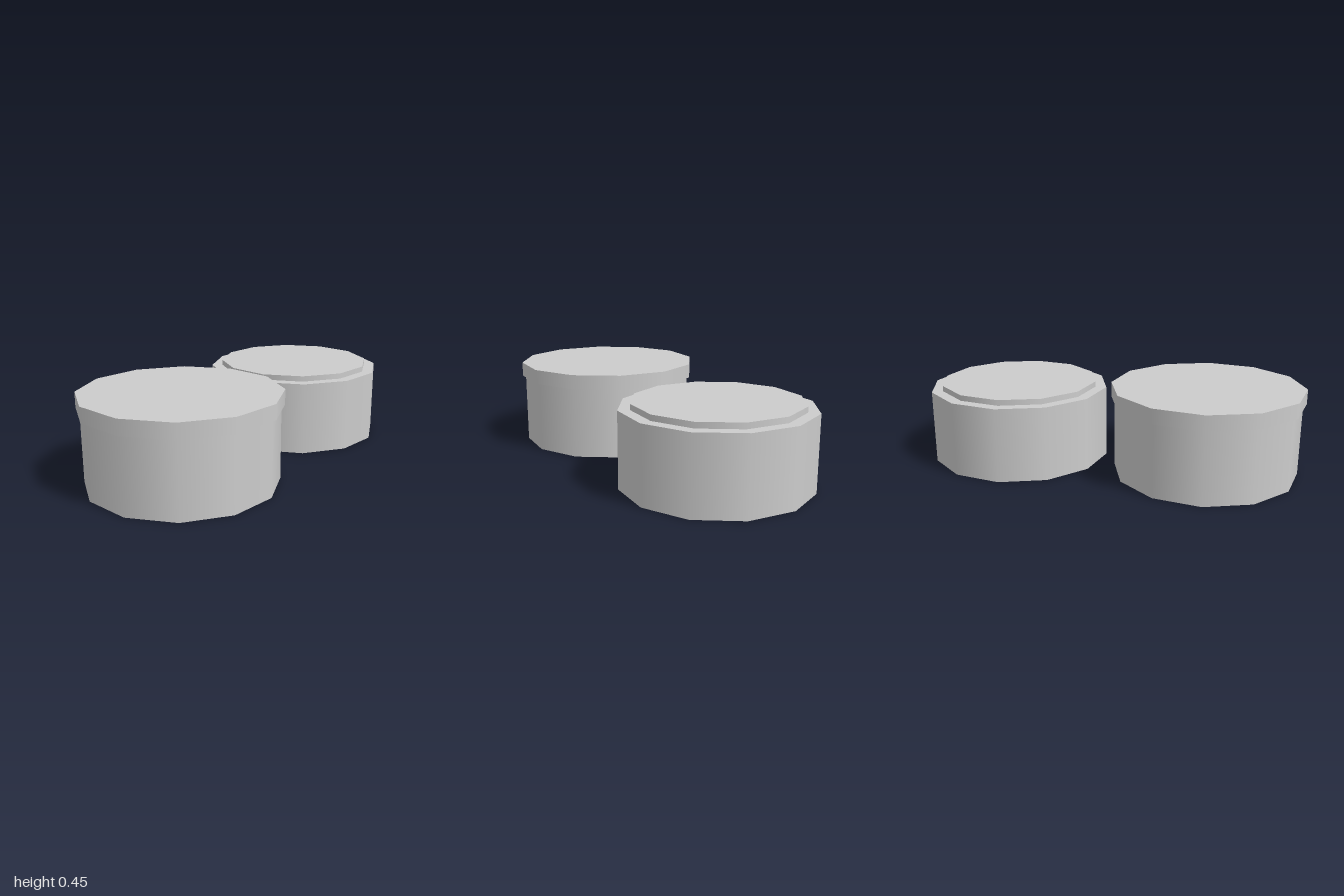
import * as THREE from 'three';

const SIDES = 12;
const TURN = 0.136; // every drum is turned slightly about its axis

export function createModel() {
  const model = new THREE.Group();
  model.name = 'roundContainers';

  const grey = new THREE.MeshStandardMaterial({ color: 0xcccccc });
  grey.name = 'light grey';

  // Twelve-sided drum with smooth walls and flat caps
  function drum(name, radius, bottom, top, parent) {
    const height = top - bottom;
    const mesh = new THREE.Mesh(new THREE.CylinderGeometry(radius, radius, height, SIDES), grey);
    mesh.name = name;
    mesh.position.y = bottom + height / 2;
    mesh.rotation.y = TURN;
    parent.add(mesh);
  }

  function container(name, x) {
    const group = new THREE.Group();
    group.name = name;
    group.position.x = x;
    drum('body', 0.478, 0, 0.384, group);
    model.add(group);
    return group;
  }

  // Container with its overhanging lid on
  const closed = container('closedContainer', -0.507);
  drum('lid', 0.495, 0.376, 0.452, closed);

  // Container without a lid, showing the raised neck
  const open = container('openContainer', 0.524);
  drum('neck', 0.419, 0.38, 0.413, open);

  return model;
}
